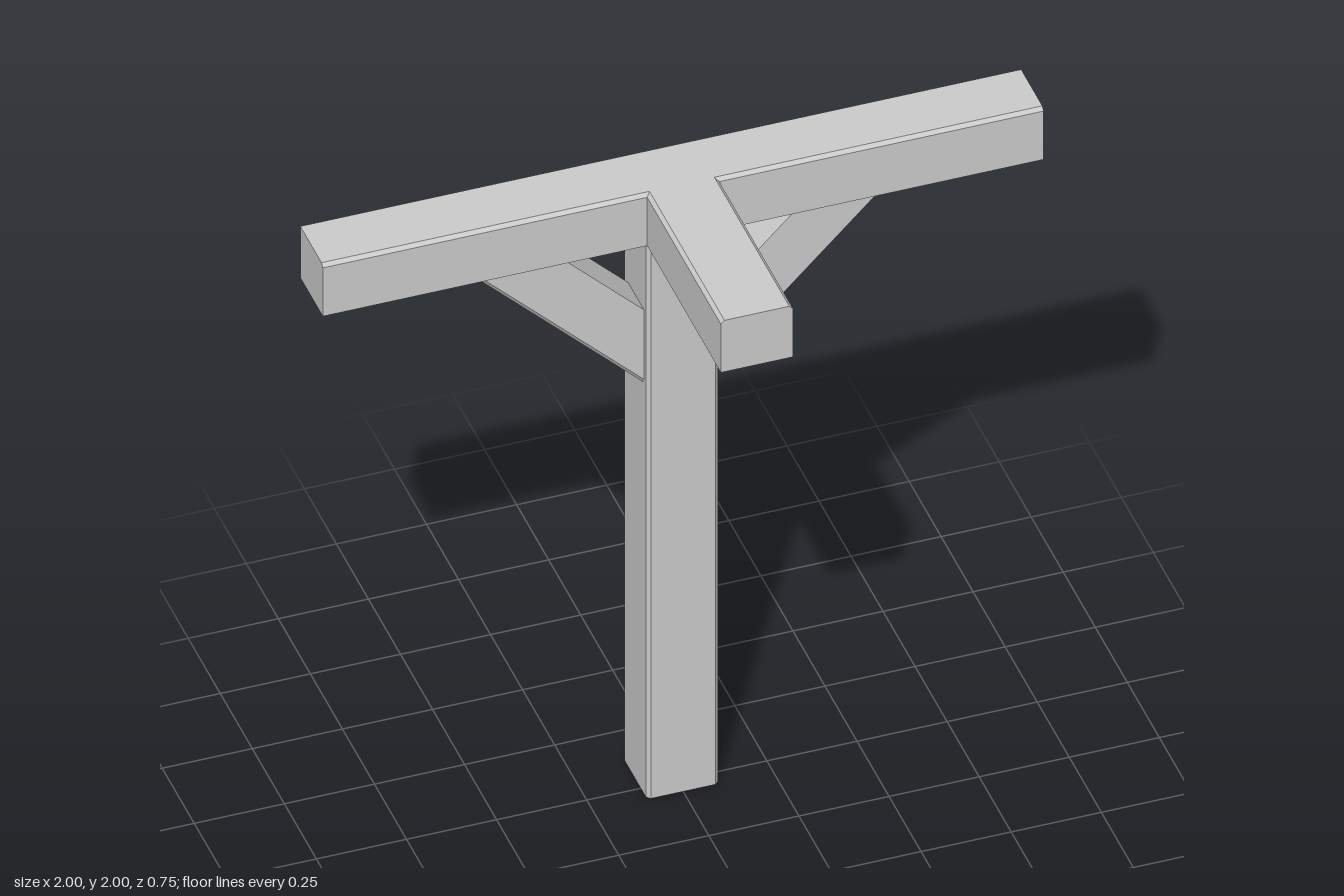
import * as THREE from 'three';

const material = new THREE.MeshStandardMaterial({ color: 0xcccccc, flatShading: true });

const BEVEL = 0.01;
const HALF = 0.1; // half width of post and arm
const BACK = -0.375, FRONT = -0.2; // depth range of post and crossbeam
const UNDER = 1.83, TOP = 2; // height range of the beams

// Extrudes a counter-clockwise cross-section along +z
function prism(points, depth) {
  const shape = new THREE.Shape(points.map(([x, y]) => new THREE.Vector2(x, y)));
  return new THREE.ExtrudeGeometry(shape, { depth, bevelEnabled: false });
}

// Diagonal brace: cross-section (c = y - x, z), cut flush with the post and the beam
function braceGeometry(side) {
  const low = 1.255, high = 1.5, back = -0.35, front = -0.225;
  const geometry = prism([
    [low, back], [high, back], [high, front], [low + BEVEL * 1.5, front], [low, front - BEVEL],
  ], 1);
  const p = geometry.attributes.position;
  for (let i = 0; i < p.count; i++) {
    const c = p.getX(i), z = p.getY(i);
    const atBeam = (p.getZ(i) > 0.5) === (side > 0); // swapped on the mirrored side to keep faces outward
    if (atBeam) p.setXYZ(i, side * (UNDER - c), UNDER, z);
    else p.setXYZ(i, side * HALF, c + HALF, z);
  }
  geometry.computeVertexNormals();
  return geometry;
}

export function createModel() {
  const group = new THREE.Group();
  const add = (name, geometry) => {
    const mesh = new THREE.Mesh(geometry, material);
    mesh.name = name;
    group.add(mesh);
  };

  // Upright post with bevelled front corners
  add('post', prism([
    [-HALF, -FRONT + BEVEL], [-HALF + BEVEL, -FRONT], [HALF - BEVEL, -FRONT],
    [HALF, -FRONT + BEVEL], [HALF, -BACK], [-HALF, -BACK],
  ], UNDER).rotateX(-Math.PI / 2));

  // Long crossbeam with bevelled upper front edge
  add('crossbeam', prism([
    [BACK, UNDER], [FRONT, UNDER], [FRONT, TOP - BEVEL], [FRONT - BEVEL, TOP], [BACK, TOP],
  ], 2).translate(0, 0, -1).rotateY(-Math.PI / 2));

  // Short arm reaching forward, mitred into the crossbeam bevel
  add('frontArm', prism([
    [-HALF, UNDER], [HALF, UNDER], [HALF, TOP - BEVEL], [HALF - BEVEL, TOP],
    [-HALF + BEVEL, TOP], [-HALF, TOP - BEVEL],
  ], 0.375 - FRONT + BEVEL).translate(0, 0, FRONT - BEVEL));

  // Diagonal braces under the crossbeam
  add('leftBrace', braceGeometry(1));
  add('rightBrace', braceGeometry(-1));

  return group;
}
